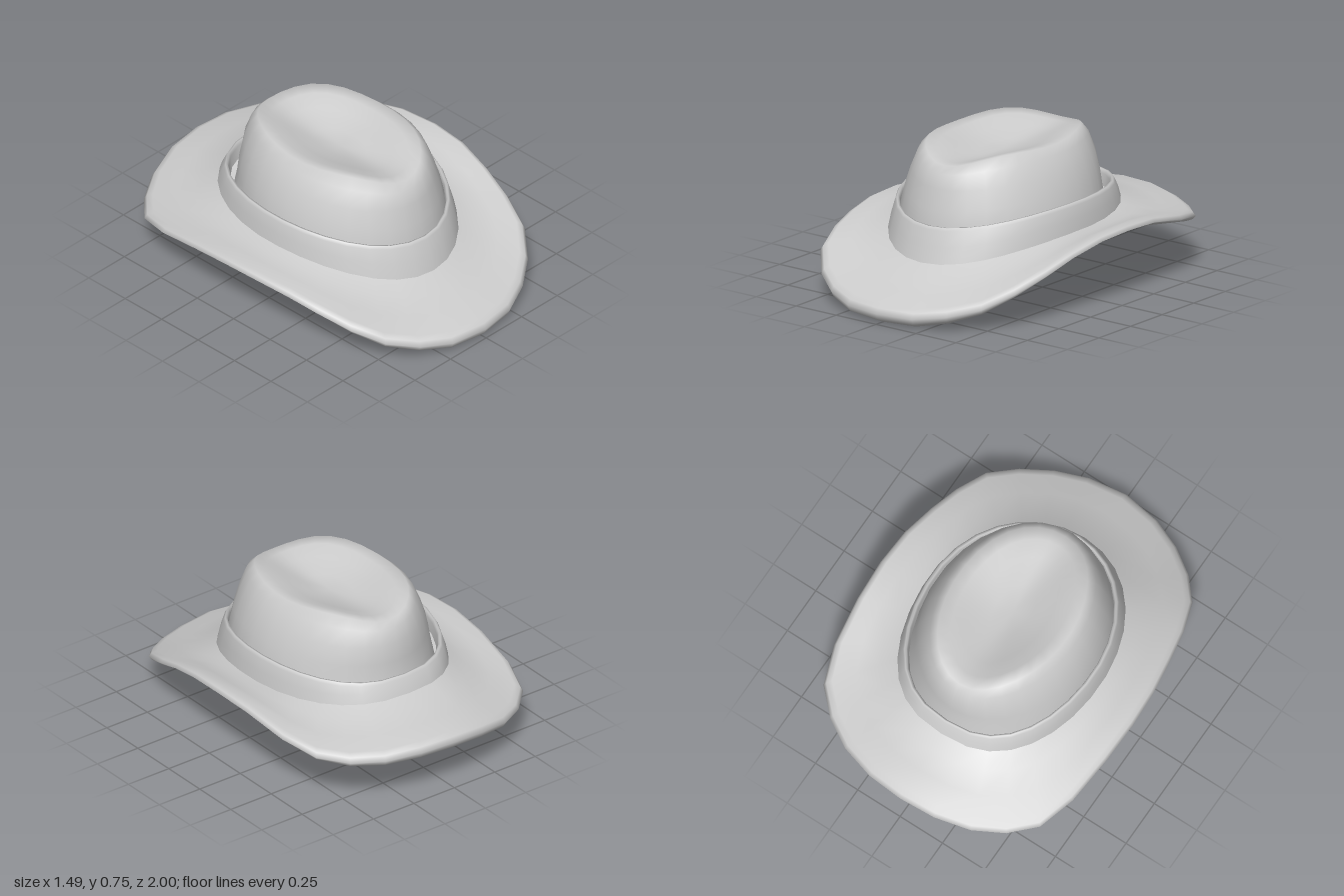
import * as THREE from 'three';

const HALF = 15;           // stations from front (+z) to back (-z)
const N = HALF * 2;        // segments around the hat

// Brim outline stations, front to back: [x, z, height on +x side, height on -x side]
const EDGE = [
  [0, 1, 0.055, 0.055], [0.2, 0.97, 0.056, 0.056], [0.36, 0.9, 0.08, 0.08],
  [0.5, 0.8, 0.12, 0.12], [0.61, 0.67, 0.19, 0.19], [0.67, 0.5, 0.255, 0.24],
  [0.705, 0.33, 0.315, 0.275], [0.735, 0.14, 0.36, 0.297], [0.745, -0.06, 0.372, 0.3],
  [0.735, -0.28, 0.36, 0.28], [0.705, -0.53, 0.31, 0.235], [0.64, -0.72, 0.27, 0.195],
  [0.52, -0.84, 0.25, 0.19], [0.37, -0.93, 0.25, 0.21], [0.19, -0.985, 0.26, 0.245],
  [0, -1, 0.26, 0.26],
];

const angle = (i) => (i / N) * Math.PI * 2;

// Height blended from the side value to the front or back value
function blend(a, side, front, back, power = 2) {
  const t = Math.cos(a);
  return side + ((t > 0 ? front : back) - side) * Math.abs(t) ** power;
}

// Oval ring with separate front and back lengths, a height rule and a squarer back if power < 1
function oval(rx, front, back, height, power = 1) {
  return Array.from({ length: N }, (_, i) => {
    const a = angle(i), s = Math.sin(a), c = Math.cos(a);
    const x = c > 0 ? s : Math.sign(s) * Math.abs(s) ** power;
    return new THREE.Vector3(rx * x, height(a), c * (c > 0 ? front : back));
  });
}

// Outer brim ring, scaled inward and shifted in height by a rule
function edgeRing(scale, shift) {
  return Array.from({ length: N }, (_, i) => {
    const right = i > HALF;
    const [x, z, yL, yR] = EDGE[right ? N - i : i];
    return new THREE.Vector3((right ? -x : x) * scale, (right ? yR : yL) + shift(angle(i)), z * scale);
  });
}

const mixRings = (r, s, t, dy) => r.map((p, i) => {
  const q = p.clone().lerp(s[i], t);
  q.y += dy;
  return q;
});

// Skin a list of closed rings, optionally closed at the end by one point
function loft(name, rings, tip) {
  const pos = rings.flat().flatMap((p) => [p.x, p.y, p.z]);
  const index = [];
  for (let j = 0; j < rings.length - 1; j++) {
    for (let i = 0; i < N; i++) {
      const k = (i + 1) % N;
      const a = j * N + i, b = j * N + k, c = b + N, d = a + N;
      index.push(a, b, c, a, c, d);
    }
  }
  if (tip) {
    const start = (rings.length - 1) * N;
    pos.push(...tip);
    for (let i = 0; i < N; i++) index.push(start + i, start + ((i + 1) % N), start + N);
  }
  const geo = new THREE.BufferGeometry();
  geo.setAttribute('position', new THREE.Float32BufferAttribute(pos, 3));
  geo.setIndex(index);
  geo.computeVertexNormals();
  const mesh = new THREE.Mesh(geo, new THREE.MeshStandardMaterial({ color: 0xcccccc, side: THREE.DoubleSide }));
  mesh.name = name;
  return mesh;
}

const SQUARE = 0.8; // squarer back of the band
const openingHeight = (a) => blend(a, 0.305, 0.012, 0.11, 2.5);
const seatHeight = (a) => blend(a, 0.35, 0.24, 0.38);
const bandTop = (dy) => (a) => blend(a, 0.487, 0.408, 0.463) + dy;
const underShift = (a) => blend(a, -0.004, -0.05, -0.05);
const overShift = (a) => blend(a, 0.031, 0.045, 0.042);

// Brim: underside from the head opening outward, around the rim, back over the top
function makeBrim() {
  const opening = oval(0.48, 0.61, 0.61, openingHeight);
  const under = edgeRing(0.95, underShift);
  const over = edgeRing(0.955, overShift);
  const seat = oval(0.495, 0.635, 0.63, seatHeight, SQUARE);
  return loft('brim', [
    opening,
    mixRings(opening, under, 0.5, -0.006),
    under,
    edgeRing(0.985, (a) => underShift(a) * 0.65),
    edgeRing(1, () => 0),
    edgeRing(0.985, (a) => overShift(a) * 0.6),
    over,
    mixRings(over, seat, 0.35, -0.012),
    mixRings(over, seat, 0.7, -0.014),
    seat,
  ]);
}

// Band: sloped strip with a rolled top lip
function makeBand() {
  return loft('hatBand', [
    oval(0.507, 0.647, 0.645, (a) => seatHeight(a) - 0.015, SQUARE),
    oval(0.497, 0.62, 0.625, (a) => seatHeight(a) * 0.55 + bandTop(0)(a) * 0.45, SQUARE),
    oval(0.483, 0.592, 0.607, bandTop(-0.015), SQUARE),
    oval(0.474, 0.583, 0.6, bandTop(0), SQUARE),
    oval(0.464, 0.575, 0.592, bandTop(0), SQUARE),
    oval(0.458, 0.57, 0.585, bandTop(-0.02), SQUARE),
    oval(0.455, 0.568, 0.575, bandTop(-0.08), SQUARE),
  ]);
}

// Crown: [half width, front, back, side y, front y, back y, corner lift]
function makeCrown() {
  const rows = [
    [0.45, 0.57, 0.555, 0.46, 0.39, 0.43, 0],
    [0.432, 0.55, 0.55, 0.54, 0.48, 0.52, 0],
    [0.4, 0.525, 0.538, 0.625, 0.585, 0.615, 0],
    [0.357, 0.5, 0.512, 0.708, 0.655, 0.685, 0.012],
    [0.315, 0.46, 0.48, 0.743, 0.688, 0.716, 0.026],
    [0.255, 0.4, 0.41, 0.736, 0.69, 0.716, 0.02],
    [0.18, 0.31, 0.32, 0.708, 0.68, 0.698, 0.01],
    [0.09, 0.16, 0.16, 0.68, 0.667, 0.675, 0],
  ];
  const rings = rows.map(([rx, f, b, s, yf, yb, lift]) =>
    oval(rx, f, b, (a) => blend(a, s, yf, yb) + lift * Math.sin(2 * a) ** 2));
  return loft('crown', [oval(0.48, 0.61, 0.61, openingHeight), ...rings], [0, 0.665, 0]);
}

export function createModel() {
  const hat = new THREE.Group();
  hat.name = 'hat';
  hat.add(makeBrim(), makeBand(), makeCrown());
  return hat;
}
